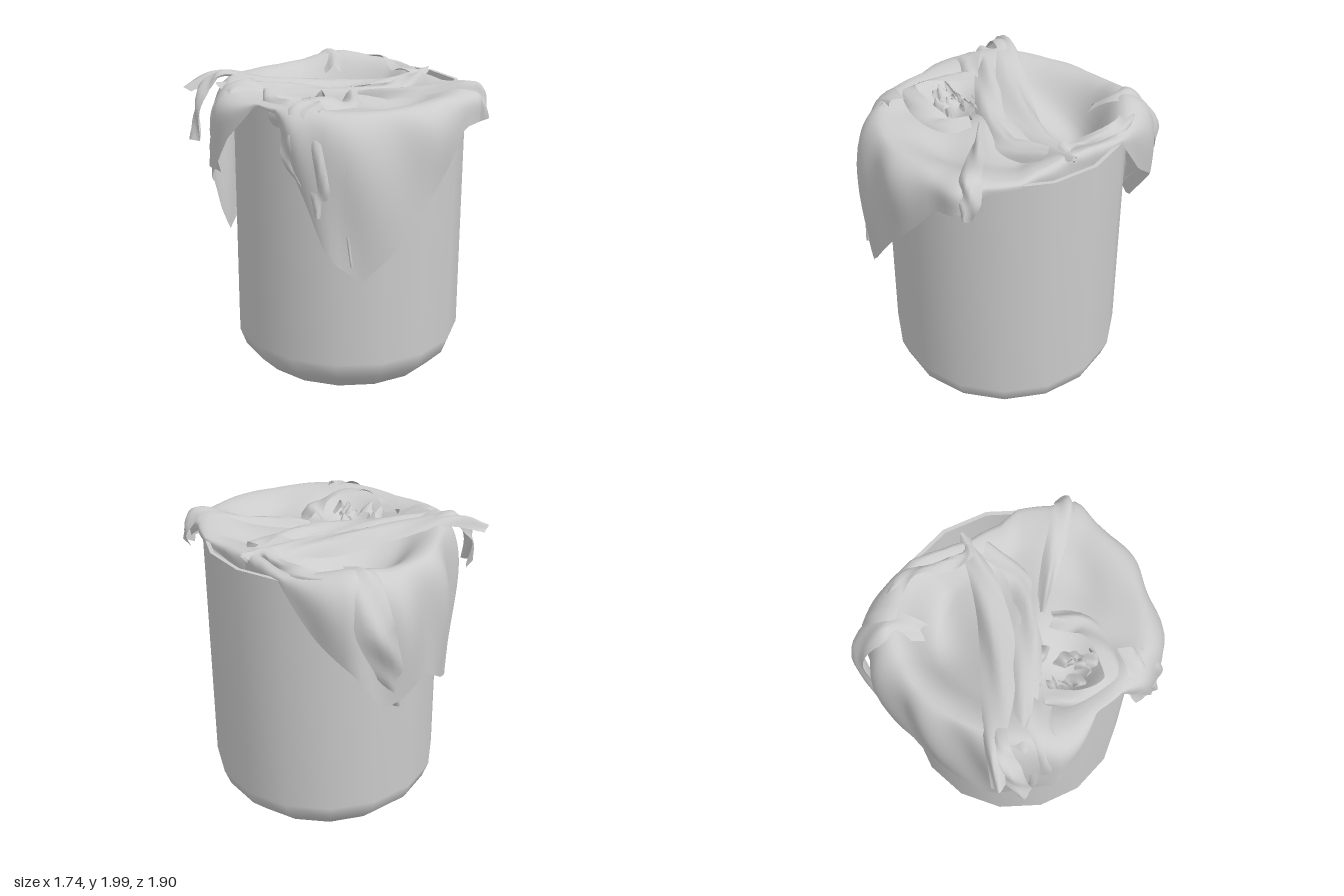
import * as THREE from 'three';

const material = new THREE.MeshStandardMaterial({ color: 0xcccccc, side: THREE.DoubleSide });
const CX = 0.14, CZ = 0.07; // basket axis

function addMesh(parent, name, geometry) {
  const mesh = new THREE.Mesh(geometry, material);
  mesh.name = name;
  parent.add(mesh);
  return mesh;
}

// Surface from a rows x cols grid of points
function gridSurface(rows, cols, point) {
  const pos = [], index = [];
  for (let i = 0; i <= rows; i++) {
    for (let j = 0; j <= cols; j++) {
      pos.push(...point(i / rows, j / cols));
      if (i < rows && j < cols) {
        const a = i * (cols + 1) + j, b = a + cols + 1;
        index.push(a, a + 1, b, b, a + 1, b + 1);
      }
    }
  }
  const g = new THREE.BufferGeometry();
  g.setAttribute('position', new THREE.Float32BufferAttribute(pos, 3));
  g.setIndex(index);
  g.computeVertexNormals();
  return g;
}

// Cloth by angle (degrees from +x towards +z): rim radius, rim height, hem radius, hem height
const CLOTH = [
  [-15, 0.56, 1.91, 0.60, 1.80],
  [5, 0.60, 1.90, 0.64, 1.82],
  [15, 0.69, 1.91, 0.73, 1.88],
  [30, 0.72, 1.93, 0.78, 1.87],
  [40, 0.74, 1.95, 0.88, 1.76],
  [50, 0.73, 1.93, 0.83, 1.74],
  [60, 0.73, 1.93, 0.83, 1.56],
  [75, 0.73, 1.92, 0.85, 1.33],
  [90, 0.74, 1.91, 0.86, 1.06],
  [102, 0.75, 1.91, 0.86, 0.90],
  [115, 0.76, 1.91, 0.91, 1.07],
  [124, 0.74, 1.92, 0.87, 1.40],
  [131, 0.72, 1.92, 0.85, 1.60],
  [140, 0.71, 1.91, 0.77, 1.87],
  [155, 0.70, 1.90, 0.74, 1.89],
  [168, 0.73, 1.90, 0.84, 1.66],
  [178, 0.74, 1.91, 0.90, 1.38],
  [190, 0.74, 1.94, 0.86, 1.28],
  [198, 0.74, 1.95, 0.83, 1.06],
  [207, 0.73, 1.94, 0.80, 0.87],
  [225, 0.72, 1.92, 0.79, 0.98],
  [247, 0.72, 1.91, 0.82, 1.18],
  [263, 0.73, 1.92, 0.88, 1.12],
  [272, 0.74, 1.95, 0.87, 1.08],
  [284, 0.74, 1.97, 0.94, 1.38],
  [299, 0.72, 1.94, 0.82, 1.58],
  [315, 0.69, 1.92, 0.74, 1.88],
  [330, 0.61, 1.92, 0.64, 1.80],
  [345, 0.56, 1.91, 0.60, 1.80],
];

function clothAt(deg) {
  let k = 1;
  while (k < CLOTH.length - 1 && CLOTH[k][0] < deg) k++;
  const a = CLOTH[k - 1], b = CLOTH[k];
  const t = (deg - a[0]) / (b[0] - a[0]);
  return a.map((v, i) => v + (b[i] - v) * t);
}

const hump = (x, z, cx, cz, sx, sz) => Math.exp(-(((x - cx) / sx) ** 2) - ((z - cz) / sz) ** 2);

// Crumpled height of the cloth lying inside the mouth
function sagHeight(x, z) {
  return 1.86 - 0.24 * hump(x, z, 0.2, -0.33, 0.36, 0.24)
    - 0.12 * hump(x, z, -0.22, 0.33, 0.2, 0.2)
    + 0.015 * Math.sin(9 * x + 4 * z) + 0.012 * Math.sin(13 * z - 6 * x);
}

// v runs around the mouth; u from the middle to the rim, then down to the hem
function clothPoint(u, v) {
  const deg = -15 + 360 * v, a = THREE.MathUtils.degToRad(deg);
  const [, rimR, rimY, hemR, hemY] = clothAt(deg);
  let r, y;
  if (u < 0.5) {
    const s = u * 2;
    r = s * rimR;
    const x = CX + r * Math.cos(a), z = CZ + r * Math.sin(a);
    y = THREE.MathUtils.lerp(sagHeight(x, z), rimY, THREE.MathUtils.smoothstep(s, 0.65, 1));
  } else {
    const t = (u - 0.5) * 2, long = rimY - hemY;
    r = rimR + (hemR - rimR) * (1 - (1 - t) ** 4);
    r += 0.03 * long * Math.sin(Math.PI * t) * (1 + Math.sin(11 * a + 2 * t));
    y = THREE.MathUtils.lerp(rimY, hemY, t ** 1.5);
  }
  return [CX + r * Math.cos(a), y, CZ + r * Math.sin(a)];
}

// Arched ribbon of cloth along a path of [x, y, z, half width]
function fold(path, arch = 0.05) {
  const curve = new THREE.CatmullRomCurve3(path.map(p => new THREE.Vector3(p[0], p[1], p[2])));
  const core = new THREE.Vector3(CX, 1.35, CZ);
  return gridSurface(24, 6, (u, v) => {
    const p = curve.getPoint(u), s = v * 2 - 1;
    const k = Math.min(Math.floor(u * (path.length - 1)), path.length - 2);
    const w = THREE.MathUtils.lerp(path[k][3], path[k + 1][3], u * (path.length - 1) - k);
    const out = p.clone().sub(core).normalize();
    const side = curve.getTangent(u).cross(out).normalize();
    const lift = arch * (0.3 - Math.abs(s) ** 1.5) + 0.012 * Math.sin(14 * u + 4 * s);
    p.addScaledVector(side, s * w).addScaledVector(out, lift);
    return [p.x, Math.min(p.y, 2), p.z];
  });
}

const FOLDS = {
  longRidge: [[-0.84, 1.86, -0.28, 0.04], [-0.62, 1.96, -0.25, 0.06], [-0.3, 1.92, -0.15, 0.1],
    [0.1, 1.88, -0.07, 0.11], [0.45, 1.89, -0.06, 0.08], [0.74, 1.92, -0.11, 0.04]],
  middleRidge: [[-0.66, 1.92, -0.1, 0.07], [-0.3, 1.91, 0.02, 0.08], [0.1, 1.88, 0.15, 0.09],
    [0.4, 1.88, 0.17, 0.08], [0.64, 1.92, 0.02, 0.07]],
  rightCornerFold: [[0.15, 1.88, 0.23, 0.03], [0.5, 1.92, 0.4, 0.06], [0.78, 1.97, 0.55, 0.07],
    [0.85, 1.87, 0.58, 0.07], [0.85, 1.75, 0.6, 0.03]],
  rightInnerRuffle: [[0.42, 1.91, -0.66, 0.05], [0.58, 1.93, -0.48, 0.06], [0.6, 1.9, -0.25, 0.05],
    [0.62, 1.92, -0.12, 0.05], [0.74, 1.9, -0.1, 0.03]],
  leftCornerFold: [[-0.4, 1.91, -0.2, 0.06], [-0.64, 1.96, -0.23, 0.07], [-0.77, 1.83, -0.2, 0.08],
    [-0.83, 1.56, -0.12, 0.05]],
  leftHangingFold: [[-0.42, 1.88, 0.12, 0.08], [-0.62, 1.92, 0.05, 0.11], [-0.73, 1.7, 0.02, 0.11],
    [-0.72, 1.4, -0.04, 0.08]],
  backHangingFold: [[0.2, 1.88, -0.48, 0.05], [0.26, 1.96, -0.7, 0.1], [0.26, 1.68, -0.9, 0.12],
    [0.12, 1.35, -0.84, 0.1], [0.04, 1.06, -0.75, 0.06]],
  frontLeftFlap: [[-0.2, 1.92, 0.68, 0.08], [-0.36, 1.88, 0.7, 0.1], [-0.41, 1.68, 0.72, 0.08],
    [-0.35, 1.48, 0.76, 0.03]],
  frontPleat: [[-0.1, 1.9, 0.76, 0.04], [-0.14, 1.82, 0.87, 0.06], [-0.14, 1.45, 0.91, 0.05],
    [-0.1, 1.02, 0.91, 0.02]],
  frontSidePleat: [[-0.22, 1.91, 0.72, 0.06], [-0.26, 1.78, 0.83, 0.08], [-0.27, 1.5, 0.87, 0.09],
    [-0.29, 1.32, 0.86, 0.04]],
  gatheredLoop: [[0.1, 1.9, 0.28, 0.05], [0.03, 1.88, 0.47, 0.09], [-0.18, 1.89, 0.57, 0.11],
    [-0.4, 1.88, 0.54, 0.09], [-0.46, 1.87, 0.32, 0.08], [-0.4, 1.9, 0.1, 0.06]],
};

export function createModel() {
  const model = new THREE.Group();

  // Basket: rounded-bottom shell and a thin inner wall
  const basket = new THREE.Group();
  basket.name = 'basket';
  basket.position.set(CX, 0, CZ);
  model.add(basket);
  const lathe = pts => new THREE.LatheGeometry(pts.map(p => new THREE.Vector2(...p)), 16);
  addMesh(basket, 'outerWall', lathe([[0, 0], [0.22, 0.003], [0.44, 0.012], [0.59, 0.07], [0.7, 0.18], [0.74, 0.29], [0.74, 1.89]]));
  addMesh(basket, 'innerWall', lathe([[0.715, 1.89], [0.715, 0.3], [0.57, 0.1], [0, 0.03]]));
  addMesh(basket, 'rim', lathe([[0.74, 1.89], [0.715, 1.89]]));

  // Cloth: one sheet draped over the rim, with loose folds on top
  const cloth = new THREE.Group();
  cloth.name = 'cloth';
  model.add(cloth);
  addMesh(cloth, 'drapedSheet', gridSurface(40, 120, clothPoint));
  for (const [name, path] of Object.entries(FOLDS)) addMesh(cloth, name, fold(path));

  // Crumpled gathers inside the loop
  for (let i = 0; i < 7; i++) {
    const a = i * 0.9, r = 0.08 + 0.07 * (i % 3);
    const path = [0, 0.6, 1.2].map((d, k) => [
      -0.25 + r * Math.cos(a + d), 1.83 + 0.05 * Math.sin(i * 2.1 + k * 1.7), 0.33 + r * Math.sin(a + d), 0.04]);
    addMesh(cloth, 'gather' + (i + 1), fold(path, 0.08));
  }
  return model;
}
